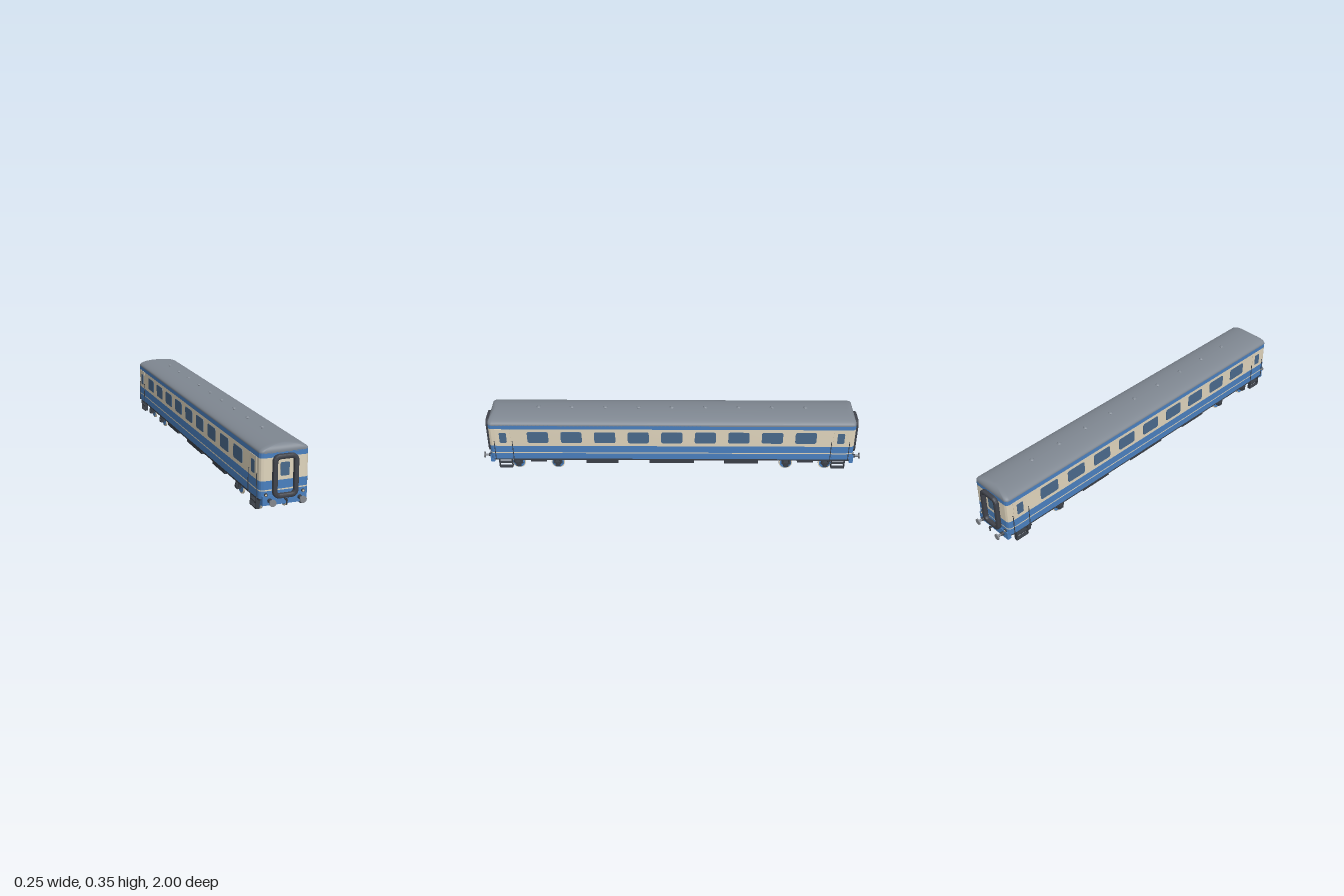
import * as THREE from 'three';
import { toCreasedNormals } from 'three/addons/utils/BufferGeometryUtils.js';

const mat = (name, color) => Object.assign(new THREE.MeshStandardMaterial({ color }), { name });
const HX = 0.118, HZ = 0.955;

export function createModel() {
  const blue = mat('body blue', 0x4a80c0), cream = mat('cream', 0xe0d5bd);
  const grey = mat('roof grey', 0x7f8791), dark = mat('underframe dark', 0x3b4048);
  const rubber = mat('gangway rubber', 0x40434b), glass = mat('window glass', 0x4a6a8c);
  const steel = mat('bare steel', 0x85898f);
  const model = new THREE.Group();
  model.name = 'passengerCoach';

  function add(parent, name, geo, material, x = 0, y = 0, z = 0) {
    const m = new THREE.Mesh(geo, material);
    m.name = name;
    m.position.set(x, y, z);
    parent.add(m);
    return m;
  }
  const box = (p, name, m, w, h, d, x, y, z) => add(p, name, new THREE.BoxGeometry(w, h, d), m, x, y, z);
  function cyl(p, name, m, r1, r2, len, axis, x, y, z, seg = 20) {
    const g = new THREE.CylinderGeometry(r1, r2, len, seg);
    if (axis === 'x') g.rotateZ(-Math.PI / 2);
    if (axis === 'z') g.rotateX(Math.PI / 2);
    return add(p, name, g, m, x, y, z);
  }
  function roundRect(w, h, r, Type = THREE.Shape) {
    const s = new Type(), a = w / 2 - r, b = h / 2 - r;
    s.absarc(a, b, r, 0, Math.PI / 2);
    s.absarc(-a, b, r, Math.PI / 2, Math.PI);
    s.absarc(-a, -b, r, Math.PI, Math.PI * 1.5);
    s.absarc(a, -b, r, Math.PI * 1.5, Math.PI * 2);
    s.closePath();
    return s;
  }
  const plate = (w, h, r, depth) =>
    new THREE.ExtrudeGeometry(roundRect(w, h, r), { depth, bevelEnabled: false, curveSegments: 5 });

  // Painted horizontal bands: bottom, top, colour
  const bands = [
    [0.097, 0.132, blue], [0.132, 0.138, cream], [0.138, 0.179, blue],
    [0.179, 0.284, cream], [0.284, 0.307, blue],
  ];
  for (const [y0, y1, m] of bands) {
    const g = plate(HX * 2, HZ * 2, 0.02, y1 - y0).rotateX(-Math.PI / 2);
    add(model, 'bodyBand', toCreasedNormals(g, 0.6), m, 0, y0, 0);
  }
  add(model, 'floor', plate(0.226, 1.89, 0.018, 0.014).rotateX(-Math.PI / 2), dark, 0, 0.084, 0);

  // Domed roof: rounded rectangles shrinking upwards to a ridge line
  const rings = 14, corner = 6, pos = [], idx = [], n = 4 * (corner + 1);
  for (let i = 0; i <= rings; i++) {
    const t = Math.max(0, i - 1) / (rings - 1) * Math.PI / 2, c = Math.cos(t);
    const hx = HX * c, hz = HZ - 0.035 * (1 - c), r = Math.min(0.02, hx);
    const y = i === 0 ? 0.304 : 0.308 + 0.032 * Math.sin(t);
    for (let q = 0; q < 4; q++) for (let k = 0; k <= corner; k++) {
      const a = (q + k / corner) * Math.PI / 2;
      const sx = q === 0 || q === 3 ? 1 : -1, sz = q < 2 ? 1 : -1;
      pos.push(sx * (hx - r) + r * Math.cos(a), y, sz * (hz - r) + r * Math.sin(a));
    }
  }
  for (let i = 0; i < rings; i++) for (let j = 0; j < n; j++) {
    const a = i * n + j, b = i * n + (j + 1) % n;
    idx.push(a, a + n, b, b, a + n, b + n);
  }
  const roof = new THREE.BufferGeometry();
  roof.setAttribute('position', new THREE.Float32BufferAttribute(pos, 3));
  roof.setIndex(idx);
  roof.computeVertexNormals();
  add(model, 'roof', roof, grey);

  // Roof vents and side windows share one spacing
  for (let i = -4; i <= 4; i++) {
    const z = i * 0.1745;
    cyl(model, 'ventStem', grey, 0.005, 0.005, 0.012, 'y', 0, 0.343, z, 12);
    cyl(model, 'ventCap', grey, 0.007, 0.012, 0.005, 'y', 0, 0.3495, z, 16);
    for (const s of [-1, 1])
      add(model, 'sideWindow', plate(0.11, 0.068, 0.011, 0.003).rotateY(s * Math.PI / 2), glass, s * (HX - 0.001), 0.233, z);
  }

  // Equipment boxes under the floor
  for (const [z, d] of [[0.37, 0.17], [0, 0.236], [-0.37, 0.18]])
    box(model, 'equipmentBox', dark, 0.18, 0.04, d, 0, 0.068, z);

  function addBogie(z0) {
    const bogie = new THREE.Group();
    bogie.name = 'bogie';
    bogie.position.z = z0;
    model.add(bogie);
    box(bogie, 'bolster', dark, 0.12, 0.052, 0.085, 0, 0.06, 0);
    for (const z of [-0.105, 0.105]) {
      cyl(bogie, 'axle', steel, 0.006, 0.006, 0.15, 'x', 0, 0.036, z, 12);
      for (const s of [-1, 1]) {
        cyl(bogie, 'wheelTyre', cream, 0.036, 0.036, 0.009, 'x', s * 0.062, 0.036, z, 28);
        cyl(bogie, 'wheelDisc', blue, 0.031, 0.031, 0.0105, 'x', s * 0.062, 0.036, z, 28);
        cyl(bogie, 'wheelHub', dark, 0.01, 0.01, 0.016, 'x', s * 0.062, 0.036, z, 16);
        box(bogie, 'axleBox', dark, 0.02, 0.026, 0.026, s * 0.081, 0.04, z);
        cyl(bogie, 'axleCover', dark, 0.009, 0.009, 0.006, 'x', s * 0.092, 0.04, z, 14);
        for (const d of [-0.017, 0.017])
          cyl(bogie, 'spring', dark, 0.007, 0.007, 0.046, 'y', s * 0.081, 0.063, z + d, 10);
      }
    }
  }
  addBogie(0.715);
  addBogie(-0.715);

  function addEnd(angle) {
    const end = new THREE.Group();
    end.name = 'coachEnd';
    end.rotation.y = angle;
    model.add(end);
    // Gangway door and its rubber surround
    for (const [y0, y1, m] of bands.slice(0, 4))
      box(end, 'endDoor', m, 0.068, y1 - y0, 0.003, 0, (y0 + y1) / 2, HZ + 0.001);
    add(end, 'endWindow', plate(0.043, 0.063, 0.007, 0.003), glass, 0, 0.228, HZ + 0.001);
    const ring = roundRect(0.11, 0.19, 0.026);
    ring.holes.push(roundRect(0.092, 0.172, 0.018, THREE.Path));
    const surround = new THREE.ExtrudeGeometry(ring, {
      depth: 0.013, bevelSize: 0.006, bevelThickness: 0.005, bevelSegments: 4, curveSegments: 8,
    });
    add(end, 'gangwaySurround', toCreasedNormals(surround, 0.7), rubber, 0, 0.198, HZ + 0.003);

    // End beam, coupling hook, bumpers and lamps
    box(end, 'endBeam', blue, 0.214, 0.043, 0.02, 0, 0.088, 0.95);
    cyl(end, 'couplingHook', dark, 0.004, 0.004, 0.03, 'z', 0, 0.09, 0.972, 10);
    box(end, 'couplingLink', dark, 0.004, 0.03, 0.006, 0, 0.084, 0.983);
    for (const s of [-1, 1]) {
      cyl(end, 'bumperSleeve', dark, 0.009, 0.011, 0.016, 'z', s * 0.073, 0.089, 0.966);
      cyl(end, 'bumperShank', steel, 0.006, 0.006, 0.03, 'z', s * 0.073, 0.089, 0.982, 14);
      cyl(end, 'bumperHead', steel, 0.016, 0.016, 0.006, 'z', s * 0.073, 0.089, 0.997, 24);
      cyl(end, 'lampRing', dark, 0.008, 0.008, 0.008, 'z', s * 0.09, 0.116, HZ + 0.002, 18);
      cyl(end, 'lampLens', cream, 0.005, 0.005, 0.009, 'z', s * 0.09, 0.116, HZ + 0.0025, 16);

      // Passenger door, window and handrails
      for (const [y0, y1, m] of bands.slice(0, 4))
        box(end, 'sideDoor', m, 0.003, y1 - y0, 0.078, s * HX, (y0 + y1) / 2, 0.88);
      add(end, 'doorWindow', plate(0.037, 0.062, 0.006, 0.003).rotateY(s * Math.PI / 2), glass, s * HX, 0.231, 0.88);
      for (const z of [0.833, 0.927]) {
        cyl(end, 'handrail', dark, 0.002, 0.002, 0.115, 'y', s * 0.1225, 0.152, z, 8);
        for (const y of [0.096, 0.208])
          cyl(end, 'handrailFoot', dark, 0.002, 0.002, 0.008, 'x', s * 0.119, y, z, 8);
      }
      // Entrance steps
      for (const z of [0.846, 0.914])
        box(end, 'stepBracket', dark, 0.018, 0.056, 0.004, s * 0.109, 0.066, z);
      for (const y of [0.04, 0.068])
        box(end, 'stepTread', dark, 0.018, 0.005, 0.068, s * 0.109, y, 0.88);
    }
  }
  addEnd(0);
  addEnd(Math.PI);
  return model;
}
